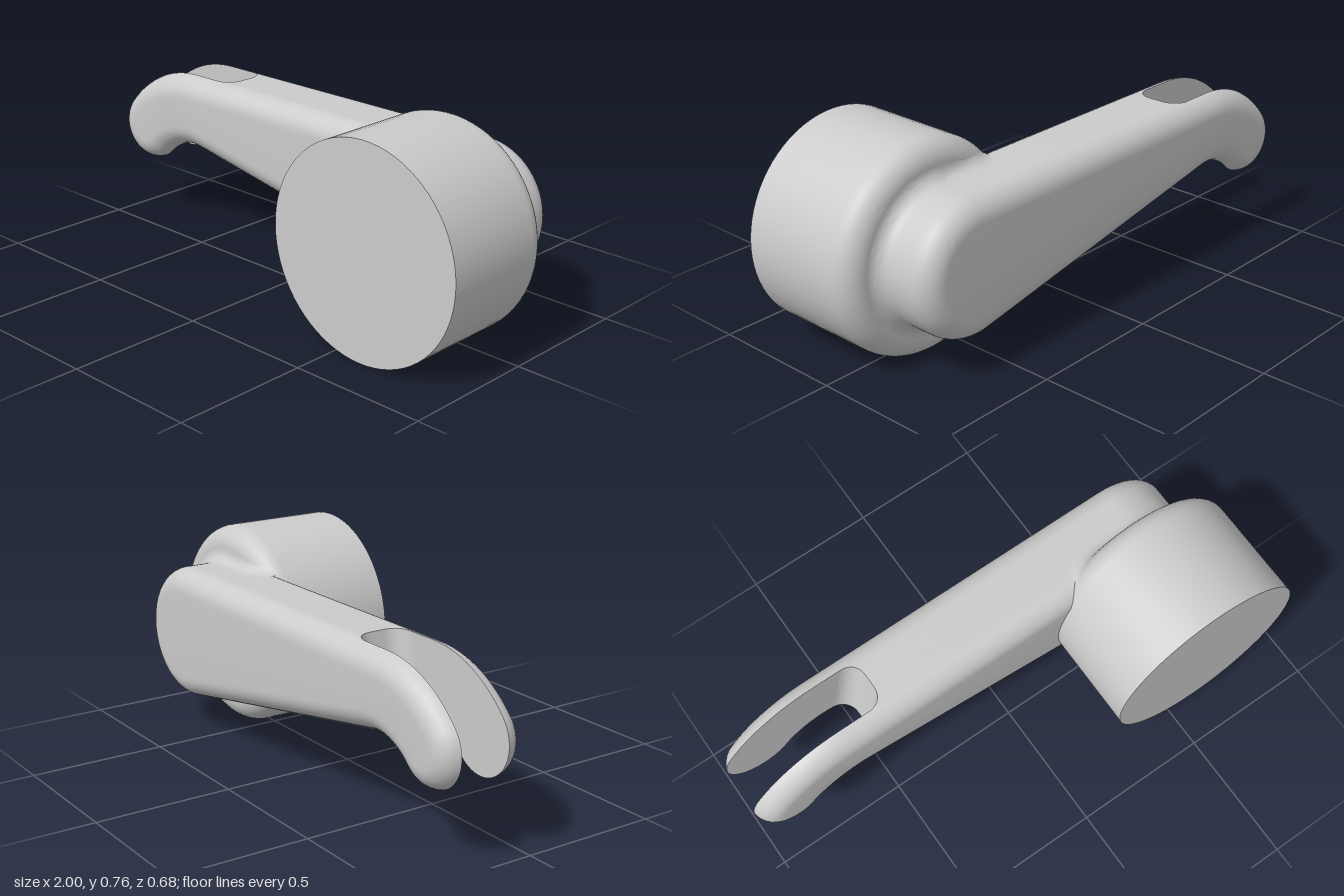
import * as THREE from 'three';
import { toCreasedNormals } from 'three/addons/utils/BufferGeometryUtils.js';

const CX = 0.62, CY = 0.38;            // hub axis
const KNOB_R = 0.379, HUB_R = 0.246;   // knob and arm-end radii
const BACK = -0.34, FRONT = -0.03;     // arm thickness
const SLOT_BACK = -0.28, SLOT_FRONT = -0.10;
const EDGE = 0.08, FILLET = 0.05, CORNER = 0.06;
const material = new THREE.MeshStandardMaterial({ color: 0xcccccc, side: THREE.DoubleSide });

// How far a quarter round of radius r has drawn in at depth t
const roundOff = (t, r) => (t >= r ? 0 : r - Math.sqrt(Math.max(0, r * r - (r - t) ** 2)));

// Points of an arc, angles in degrees
function arc(cx, cy, r, from, to, n) {
  return Array.from({ length: n + 1 }, (_, i) => {
    const a = THREE.MathUtils.degToRad(from + (to - from) * i / n);
    return new THREE.Vector2(cx + r * Math.cos(a), cy + r * Math.sin(a));
  });
}

// Full arm outline, drawn in by d: hub end, top bend, tip, hollow under the bend
const outline = (d) => [
  ...arc(CX, CY, HUB_R - d, -100.2, 90, 40),
  ...arc(-0.62, 0.165, 0.461 - d, 90, 138.7, 16),
  ...arc(-0.865, 0.38, 0.135 - d, 138.7, 314.8, 28).slice(1),
  ...arc(-0.61, 0.123, 0.227 + d, 134.8, 79.8, 16).slice(1),
];

// Arm outline cut short at the slanted end of the slot
function cutOutline(d, top) {
  const x = top - 0.06;
  return [
    ...arc(CX, CY, HUB_R - d, -100.2, 90, 40),
    new THREE.Vector2(top, CY + HUB_R - d),
    new THREE.Vector2(x, 0.138 + 0.18 * (0.576 - x) + 1.016 * d),
  ];
}

// Skin over counter-clockwise rings stacked along z
function loft(rings, zs, caps) {
  const pos = [], idx = [], n = rings[0].length, last = (rings.length - 1) * n;
  rings.forEach((ring, k) => ring.forEach((p) => pos.push(p.x, p.y, zs[k])));
  for (let k = 0; k < rings.length - 1; k++) {
    for (let i = 0; i < n; i++) {
      const a = k * n + i, b = k * n + (i + 1) % n;
      idx.push(a, b, b + n, a, b + n, a + n);
    }
  }
  if (caps) {
    for (const [a, b, c] of THREE.ShapeUtils.triangulateShape(rings[0], [])) idx.push(a, c, b);
    for (const [a, b, c] of THREE.ShapeUtils.triangulateShape(rings.at(-1), [])) idx.push(last + a, last + b, last + c);
  }
  const g = new THREE.BufferGeometry();
  g.setAttribute('position', new THREE.Float32BufferAttribute(pos, 3));
  g.setIndex(idx);
  return toCreasedNormals(g, 0.6);
}

const armInset = (z) => roundOff(Math.min(z - BACK, FRONT - z), EDGE);

// Depths that follow a quarter round of radius r, up to depth end
function roundDepths(r, end, n) {
  const max = Math.acos(Math.max(0, 1 - end / r));
  return Array.from({ length: n + 1 }, (_, i) => r * (1 - Math.cos(max * i / n)));
}

// Back surface of the knob at radius r
const knobBack = (r) => {
  const over = r - (KNOB_R - EDGE);
  return over <= 0 ? -0.125 : -0.045 - Math.sqrt(Math.max(0, EDGE * EDGE - over * over));
};

// Soft blend where a straight arm edge runs into the knob
function blendStrip(tx, ty, nx, ny) {
  const cols = 24, rows = 8, pos = [], idx = [];
  for (let i = 0; i <= cols; i++) {
    const s = 0.28 * i / cols;
    const h = Math.min(FILLET, 0.6 * (Math.sqrt(KNOB_R ** 2 - s * s) - HUB_R));
    const zc = knobBack(Math.hypot(s, HUB_R));
    const curve = new THREE.QuadraticBezierCurve(
      new THREE.Vector2(0, zc - FILLET),
      new THREE.Vector2(0, zc),
      new THREE.Vector2(h, knobBack(Math.hypot(s, HUB_R + h))));
    for (const p of curve.getPoints(rows)) {
      const r = HUB_R + p.x;
      pos.push(CX + tx * s + nx * r, CY + ty * s + ny * r, p.y);
    }
  }
  // corner order follows the side of the arm
  const flip = tx * ny - ty * nx > 0;
  for (let i = 0; i < cols; i++) {
    for (let j = 0; j < rows; j++) {
      const a = i * (rows + 1) + j, b = a + rows + 1;
      if (flip) idx.push(a, b + 1, b, a, a + 1, b + 1);
      else idx.push(a, b, b + 1, a, b + 1, a + 1);
    }
  }
  const g = new THREE.BufferGeometry();
  g.setAttribute('position', new THREE.Float32BufferAttribute(pos, 3));
  g.setIndex(idx);
  g.computeVertexNormals();
  return g;
}

export function createModel() {
  const model = new THREE.Group();
  const add = (name, geometry) => {
    const mesh = new THREE.Mesh(geometry, material);
    mesh.name = name;
    model.add(mesh);
  };

  // Knob: flat front, rounded back edge, concave neck into the arm
  const profile = [
    ...arc(HUB_R + FILLET, -0.125 - FILLET, FILLET, 180, 90, 8),
    ...arc(KNOB_R - EDGE, -0.045, EDGE, -90, 0, 10),
    new THREE.Vector2(KNOB_R, 0.34),
    new THREE.Vector2(0, 0.34),
  ];
  const knob = new THREE.LatheGeometry(profile, 72).rotateX(Math.PI / 2).translate(CX, CY, 0);
  add('knob', toCreasedNormals(knob, 0.6));

  // Outer layers of the arm, which form the two prongs beside the slot
  const backZ = roundDepths(EDGE, SLOT_BACK - BACK, 8).map((t) => BACK + t);
  const frontZ = roundDepths(EDGE, FRONT - SLOT_FRONT, 8).map((t) => FRONT - t).reverse();
  add('armBackLayer', loft(backZ.map((z) => outline(armInset(z))), backZ, true));
  add('armFrontLayer', loft(frontZ.map((z) => outline(armInset(z))), frontZ, true));

  // Core of the arm, ending at the rounded end of the slot
  const depths = roundDepths(CORNER, CORNER, 8);
  const coreZ = [
    ...depths.map((t) => SLOT_BACK + t),
    ...depths.map((t) => SLOT_FRONT - t).reverse(),
  ];
  const core = coreZ.map((z) => {
    const corner = roundOff(Math.min(z - SLOT_BACK, SLOT_FRONT - z), CORNER);
    return cutOutline(armInset(z), -0.44 - corner);
  });
  add('armCore', loft(core, coreZ, false));

  // Blends above and below the arm
  add('upperBlend', blendStrip(-1, 0, 0, 1));
  add('lowerBlend', blendStrip(-0.984, 0.177, -0.177, -0.984));
  return model;
}
